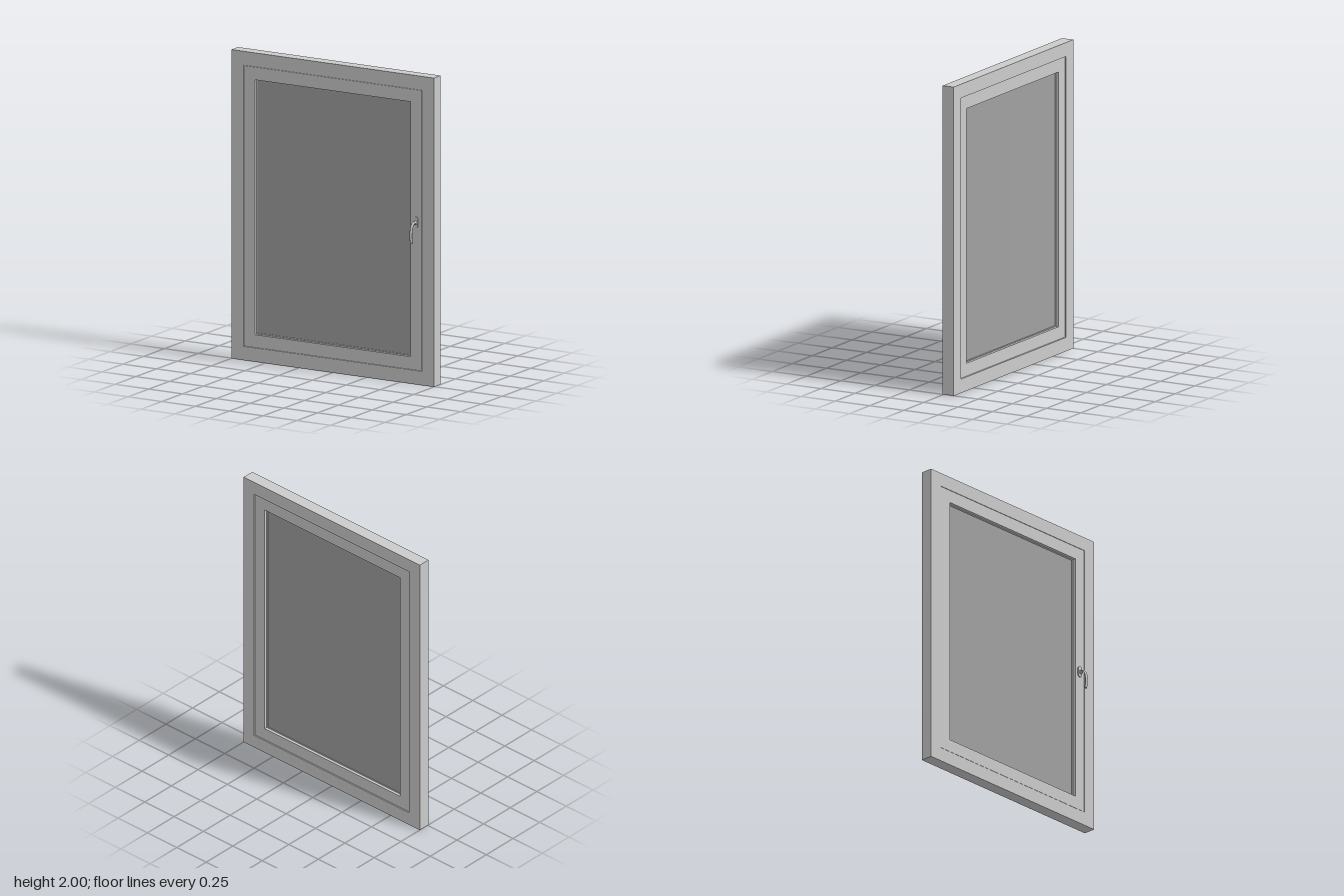
import * as THREE from 'three';

const grey = new THREE.MeshStandardMaterial({ color: 0xcccccc });
const glassGrey = new THREE.MeshStandardMaterial({ color: 0xa0a0a0 });

function add(parent, name, geometry, material = grey) {
  const mesh = new THREE.Mesh(geometry, material);
  mesh.name = name;
  parent.add(mesh);
  return mesh;
}

// Box given by its limits on each axis
function block(parent, name, x0, x1, y0, y1, z0, z1, material) {
  const mesh = add(parent, name, new THREE.BoxGeometry(x1 - x0, y1 - y0, z1 - z0), material);
  mesh.position.set((x0 + x1) / 2, (y0 + y1) / 2, (z0 + z1) / 2);
  return mesh;
}

// Flat outline extruded from z0 to z1
function slab(points, z0, z1) {
  const shape = new THREE.Shape(points.map(([x, y]) => new THREE.Vector2(x, y)));
  return new THREE.ExtrudeGeometry(shape, { depth: z1 - z0, bevelEnabled: false }).translate(0, 0, z0);
}

function createFrame() {
  const frame = new THREE.Group();
  frame.name = 'outerFrame';
  const outer = [[-0.75, 0], [0.75, 0], [0.75, 2], [-0.75, 2]];
  const inner = [[-0.66, 0.09], [0.66, 0.09], [0.66, 1.91], [-0.66, 1.91]];
  // Four mitred members
  ['frameBottom', 'frameLeft', 'frameTop', 'frameRight'].forEach((name, i) => {
    const j = (i + 1) % 4;
    add(frame, name, slab([outer[i], outer[j], inner[j], inner[i]], -0.073, 0.008));
  });
  return frame;
}

function createSash() {
  const sash = new THREE.Group();
  sash.name = 'sash';
  const back = -0.066, front = 0.007;
  // Full-height stiles with the rails between them
  block(sash, 'rightStile', -0.658, -0.577, 0.092, 1.908, back, front);
  block(sash, 'leftStile', 0.577, 0.658, 0.092, 1.908, back, front);
  block(sash, 'bottomRail', -0.577, 0.577, 0.092, 0.175, back, front);
  block(sash, 'topRail', -0.577, 0.577, 1.825, 1.908, back, front);
  // Narrow gasket around the pane
  for (const [x0, x1, y0, y1] of [
    [-0.577, -0.571, 0.175, 1.825], [0.571, 0.577, 0.175, 1.825],
    [-0.571, 0.571, 0.175, 0.181], [-0.571, 0.571, 1.819, 1.825],
  ]) block(sash, 'gasket', x0, x1, y0, y1, -0.048, -0.014);
  block(sash, 'glassPane', -0.571, 0.571, 0.181, 1.819, -0.043, -0.019, glassGrey);
  return sash;
}

function createHandle() {
  const handle = new THREE.Group();
  handle.name = 'handle';
  handle.position.set(0.616, 0, 0);

  // Rounded base plate
  const plate = new THREE.Shape();
  plate.absarc(0, 1.07, 0.017, 0, Math.PI, false);
  plate.absarc(0, 1.031, 0.017, Math.PI, Math.PI * 2, false);
  add(handle, 'handlePlate', new THREE.ExtrudeGeometry(plate, {
    depth: 0.008, bevelEnabled: false, curveSegments: 16,
  }).translate(0, 0, 0.006));

  // Round collar under the neck
  const collar = add(handle, 'handleCollar', new THREE.CylinderGeometry(0.011, 0.013, 0.012, 20));
  collar.rotation.x = Math.PI / 2;
  collar.position.set(0, 1.046, 0.019);

  // Curved lever, wider than it is thick
  const path = new THREE.CatmullRomCurve3([
    [1.046, 0.014], [1.05, 0.03], [1.044, 0.045], [1.022, 0.06],
    [0.99, 0.066], [0.955, 0.066], [0.925, 0.061],
  ].map(([y, z]) => new THREE.Vector3(0, y, z)));
  const widen = 1.4, radius = 0.007;
  add(handle, 'handleLever', new THREE.TubeGeometry(path, 40, radius, 14).scale(widen, 1, 1));
  const tip = add(handle, 'handleTip', new THREE.SphereGeometry(radius, 14, 10).scale(widen, 0.7, 1));
  tip.position.copy(path.getPoint(1));
  return handle;
}

export function createModel() {
  const model = new THREE.Group();
  model.name = 'window';
  model.add(createFrame(), createSash(), createHandle());
  return model;
}
